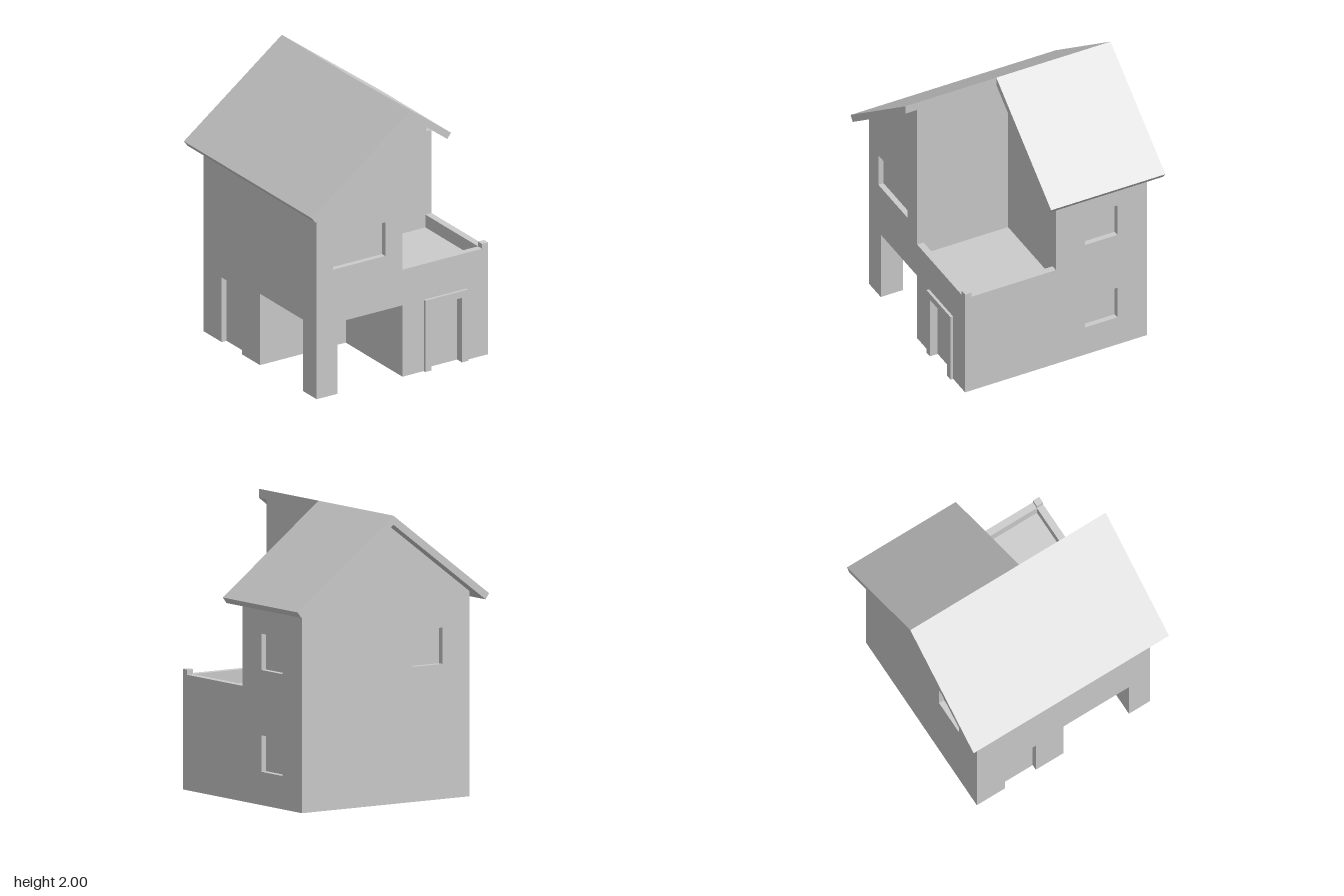
import * as THREE from 'three';

const W = 0.7, T = 0.04, I = W - T;          // half width, recess depth, core half width
const EAVE = 1.4125, RIDGE = 1.9375;         // wall heights under the roof
const CEIL = 0.53, DECK = 0.7, RIM = 0.795;  // carport ceiling, terrace floor, terrace rim
const underRoof = x => RIDGE - 0.75 * Math.abs(x);

export function createModel() {
  const house = new THREE.Group();
  house.name = 'house';
  const material = new THREE.MeshStandardMaterial({ color: 0xcccccc, flatShading: true });

  const add = (name, geometry) => {
    const mesh = new THREE.Mesh(geometry, material);
    mesh.name = name;
    house.add(mesh);
    return mesh;
  };

  // Box given by its low and high corners
  const box = (name, [x0, y0, z0], [x1, y1, z1]) =>
    add(name, new THREE.BoxGeometry(x1 - x0, y1 - y0, z1 - z0))
      .position.set((x0 + x1) / 2, (y0 + y1) / 2, (z0 + z1) / 2);

  const toPoints = list => list.map(([x, y]) => new THREE.Vector2(x, y));

  // Outline pushed along z, with optional rectangular holes [x0, x1, y0, y1]
  const slab = (name, outline, depth, holes = []) => {
    const shape = new THREE.Shape(toPoints(outline));
    for (const [a, b, c, d] of holes) {
      shape.holes.push(new THREE.Path(toPoints([[a, c], [a, d], [b, d], [b, c]])));
    }
    return add(name, new THREE.ExtrudeGeometry(shape, { depth, bevelEnabled: false }));
  };

  // Solid cores; the outer walls below are laid over them so openings read as recesses
  slab('backCore', [[-I, 0], [I, 0], [I, underRoof(I)], [0, RIDGE], [-I, underRoof(I)]], I)
    .position.z = -I;
  slab('frontUpperCore', [[-I, CEIL], [0, CEIL], [0, RIDGE], [-I, underRoof(I)]], I);
  box('entranceCore', [0, 0, 0], [I, DECK, I]);

  // Front walls: gable half over the carport, entrance below the terrace
  slab('frontGableWall', [[-W, CEIL], [0, CEIL], [0, RIDGE], [-W, EAVE]], T,
    [[-0.565, -0.14, 0.93, 1.18]]).position.z = I;
  slab('entranceWall', [[0, 0], [0.225, 0], [0.225, 0.48], [0.473, 0.48], [0.473, 0],
    [W, 0], [W, DECK], [0, DECK]], T).position.z = I;

  // Back wall, drawn with x reversed
  const back = slab('backWall', [[-W, 0], [W, 0], [W, EAVE], [0, RIDGE], [-W, EAVE]], T,
    [[0.223, 0.473, 0.93, 1.18]]);
  back.rotation.y = Math.PI;
  back.position.z = -I;

  // Wall on the +x side, drawn along -z, stepped down at the terrace
  const sideA = slab('leftWall', [[-I, 0], [I, 0], [I, EAVE], [0, EAVE], [0, DECK], [-I, DECK]], T,
    [[0.223, 0.473, 0.23, 0.48], [0.223, 0.473, 0.93, 1.18]]);
  sideA.rotation.y = Math.PI / 2;
  sideA.position.x = I;

  // Wall on the -x side, drawn along +z, with a door recess and the carport opening
  const sideB = slab('rightWall', [[-I, 0], [-0.473, 0], [-0.473, 0.48], [-0.223, 0.48],
    [-0.223, 0], [0, 0], [0, CEIL], [I, CEIL], [I, EAVE], [-I, EAVE]], T);
  sideB.rotation.y = -Math.PI / 2;
  sideB.position.x = -I;

  // Carport corner pillar
  box('carportPillar', [-W, 0, 0.53], [-0.53, CEIL, W]);

  // Terrace rim with a raised corner post
  box('terraceSideRim', [0.65, DECK, 0], [W, RIM, 0.65]);
  box('terraceFrontRim', [0, DECK, 0.65], [0.65, RIM, W]);
  box('terraceCornerPost', [0.65, DECK, 0.65], [W, 0.83, W]);

  // Frame around the front door
  slab('doorFrame', [[0.175, 0], [0.225, 0], [0.225, 0.48], [0.473, 0.48], [0.473, 0],
    [0.525, 0], [0.525, 0.53], [0.175, 0.53]], 0.02).position.z = W;

  // Roof: the half over the terrace side stops short
  for (const [side, name, length] of [[1, 'shortRoofHalf', 0.88], [-1, 'longRoofHalf', 1.58]]) {
    const profile = [[0, 2], [0.8, 1.4], [0.77, 1.36], [0, RIDGE]].map(([x, y]) => [side * x, y]);
    slab(name, profile, length).position.z = -0.79;
  }

  return house;
}
